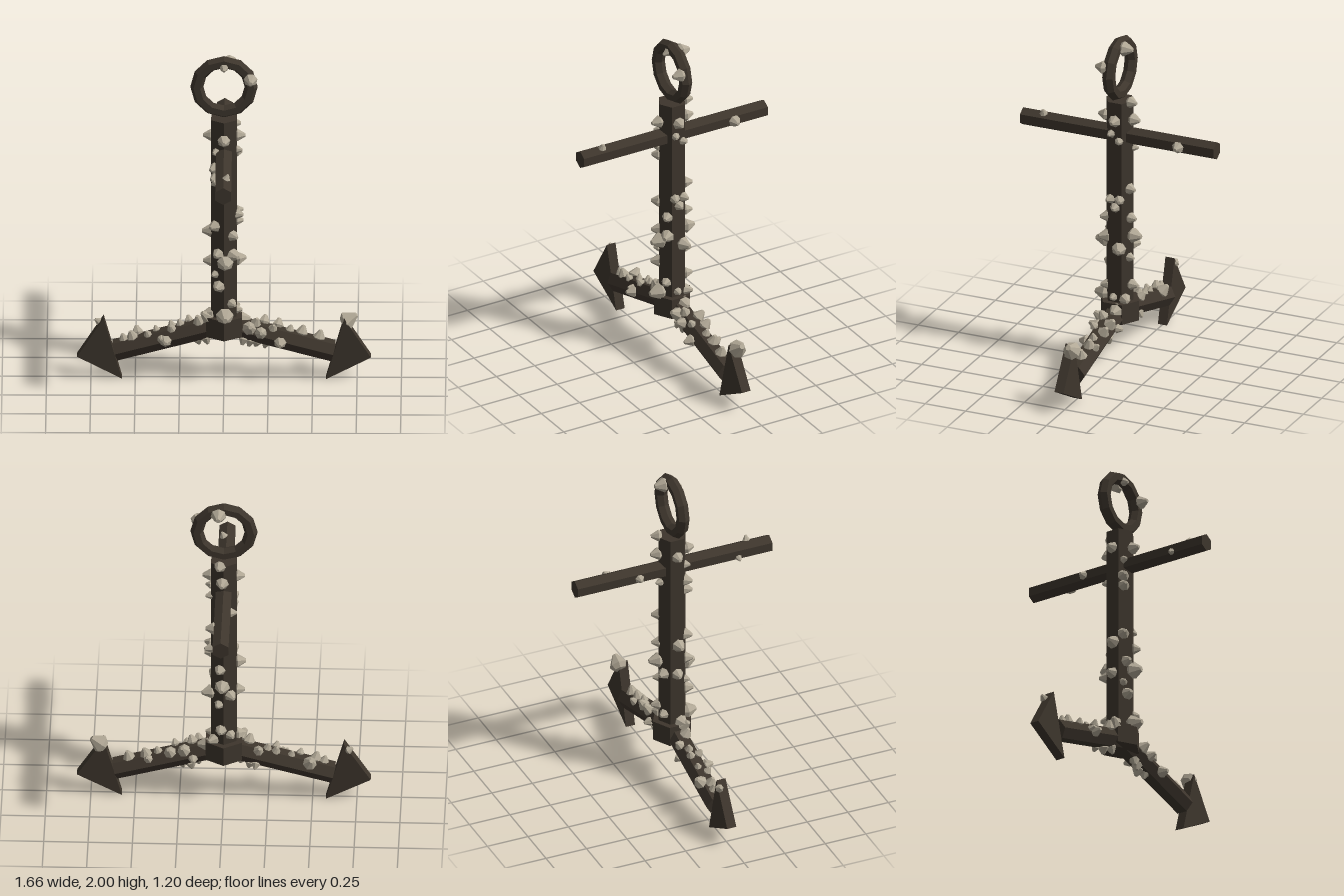
import * as THREE from 'three';

const iron = new THREE.MeshStandardMaterial({ color: 0x3d352c, flatShading: true });
const shell = new THREE.MeshStandardMaterial({ color: 0xb0a795, flatShading: true });
const UP = new THREE.Vector3(0, 1, 0);
const rad = THREE.MathUtils.degToRad;

// Blunt seven-sided cone, tucked in at the foot; unit radius
const barnacleGeo = new THREE.LatheGeometry(
  [[0, -0.5], [0.65, -0.4], [1, 0.1], [0.28, 1.3], [0, 1.3]].map(([x, y]) => new THREE.Vector2(x, y)), 7);

function add(parent, name, geo, mat = iron) {
  const m = new THREE.Mesh(geo, mat);
  m.name = name;
  parent.add(m);
  return m;
}

function barnacle(parent, pos, dir, r) {
  const b = add(parent, 'barnacle', barnacleGeo, shell);
  b.position.copy(pos);
  b.quaternion.setFromUnitVectors(UP, dir.clone().normalize());
  b.scale.setScalar(r);
}

// Hexagonal bar along local y
function hexBar(parent, name, r, y0, y1) {
  const m = add(parent, name, new THREE.CylinderGeometry(r, r, y1 - y0, 6));
  m.position.y = (y0 + y1) / 2;
}

// Barnacles on a hexagonal bar: [distance along, degrees from +z towards +x, radius]
function encrust(parent, barR, list, flip = 1) {
  for (const [y, deg, r] of list) {
    const a = rad(deg * flip);
    const inFace = rad((((deg % 60) + 60) % 60) - 30);
    const d = barR * Math.cos(Math.PI / 6) / Math.cos(inFace);
    const dir = new THREE.Vector3(Math.sin(a), 0, Math.cos(a));
    barnacle(parent, dir.clone().multiplyScalar(d).setY(y), dir, r);
  }
}

export function createModel() {
  const model = new THREE.Group();
  model.name = 'anchor';

  // Ring at the top
  const ring = new THREE.Group();
  ring.name = 'ringGroup';
  model.add(ring);
  add(ring, 'ring', new THREE.TorusGeometry(0.153, 0.037, 6, 12)).position.y = 1.81;
  const V = (x, y, z) => new THREE.Vector3(x, y, z);
  barnacle(ring, V(0.15, 1.865, 0.03), V(0, 0, 1), 0.04);
  barnacle(ring, V(0.03, 1.945, -0.035), V(0, 0, -1), 0.045);
  barnacle(ring, V(0, 1.94, 0.025), V(0, -0.3, 1), 0.026);

  // Shank
  const shank = new THREE.Group();
  shank.name = 'shankGroup';
  model.add(shank);
  hexBar(shank, 'shank', 0.083, 0.28, 1.62);
  encrust(shank, 0.083, [
    [1.62, 165, 0.035], [1.51, 0, 0.037], [1.51, 90, 0.037], [1.51, -90, 0.035], [1.51, 175, 0.038],
    [1.43, 75, 0.025], [1.39, 110, 0.025], [1.43, -35, 0.025], [1.33, -40, 0.035], [1.27, -38, 0.034],
    [1.33, -170, 0.025], [1.09, 160, 0.034], [1.03, 72, 0.03], [1.03, 112, 0.03], [0.98, 92, 0.03],
    [0.97, -40, 0.035], [0.92, -85, 0.04], [0.91, 40, 0.033], [0.91, 165, 0.033],
    [0.80, -25, 0.035], [0.79, 40, 0.04], [0.75, 5, 0.048], [0.80, 175, 0.045],
  ]);
  encrust(shank, 0.083, [
    [0.73, -90, 0.035], [0.73, 110, 0.042], [0.73, -150, 0.035], [0.67, -40, 0.024], [0.67, 160, 0.028],
    [0.60, -22, 0.037], [0.50, 170, 0.034], [0.49, 35, 0.03], [0.42, 3, 0.052], [0.43, 85, 0.025],
    [0.42, 135, 0.035], [0.41, -75, 0.04], [0.46, -150, 0.03],
  ]);

  // Stock, running front to back
  const stock = new THREE.Group();
  stock.name = 'stockGroup';
  stock.position.y = 1.407;
  stock.rotation.x = Math.PI / 2;
  model.add(stock);
  hexBar(stock, 'stock', 0.052, -0.6, 0.6);
  encrust(stock, 0.052, [[0.465, 160, 0.024], [-0.38, 90, 0.036], [-0.22, -90, 0.027], [0.39, -70, 0.02]]);

  // Crown collar
  hexBar(model, 'crown', 0.118, 0.28, 0.4);
  barnacle(model, V(0.09, 0.36, -0.02), V(1, 0, 0), 0.045);
  barnacle(model, V(-0.09, 0.39, 0.03), V(-0.6, 0.6, 0.3), 0.04);

  // Arms and flukes; here 90 degrees is the upper side and 0 the front
  const growth = {
    1: [[0.14, 30, 0.04], [0.17, 70, 0.032], [0.22, 130, 0.038], [0.27, 60, 0.026], [0.30, 125, 0.036],
      [0.33, -5, 0.036], [0.37, 95, 0.026], [0.44, 100, 0.036], [0.43, 135, 0.026], [0.54, 95, 0.036],
      [0.13, -70, 0.03], [0.17, -80, 0.032], [0.21, -100, 0.034], [0.26, -90, 0.026], [0.21, 20, 0.035],
      [0.18, 185, 0.028]],
    [-1]: [[0.13, 70, 0.036], [0.19, 130, 0.03], [0.24, 95, 0.025], [0.29, 105, 0.026], [0.29, 60, 0.026],
      [0.34, 5, 0.035], [0.38, 100, 0.022], [0.43, 65, 0.024], [0.49, 130, 0.04], [0.52, 80, 0.034],
      [0.57, 85, 0.028], [0.12, -80, 0.032], [0.17, -100, 0.032], [0.36, 20, 0.024], [0.2, -130, 0.026]],
  };
  for (const side of [1, -1]) {
    const label = side > 0 ? 'left' : 'right';
    const arm = new THREE.Group();
    arm.name = label + 'ArmGroup';
    arm.position.y = 0.34;
    arm.rotation.z = -side * rad(105.4);
    model.add(arm);
    hexBar(arm, label + 'Arm', 0.062, 0, 0.638);
    encrust(arm, 0.062, growth[side], -side);

    const tri = new THREE.Shape([[0.828, 0.14], [0.678, 0.378], [0.575, 0.005]]
      .map(([x, y]) => new THREE.Vector2(side * x, y)));
    const fluke = add(model, label + 'Fluke', new THREE.ExtrudeGeometry(tri, { depth: 0.056, bevelEnabled: false }));
    fluke.position.z = -0.028;
  }
  // Barnacles on the fluke edges
  barnacle(model, V(0.69, 0.345, -0.02), V(0.8, 0.58, 0), 0.054);
  barnacle(model, V(-0.7, 0.335, -0.02), V(-0.84, 0.54, 0), 0.025);

  return model;
}
